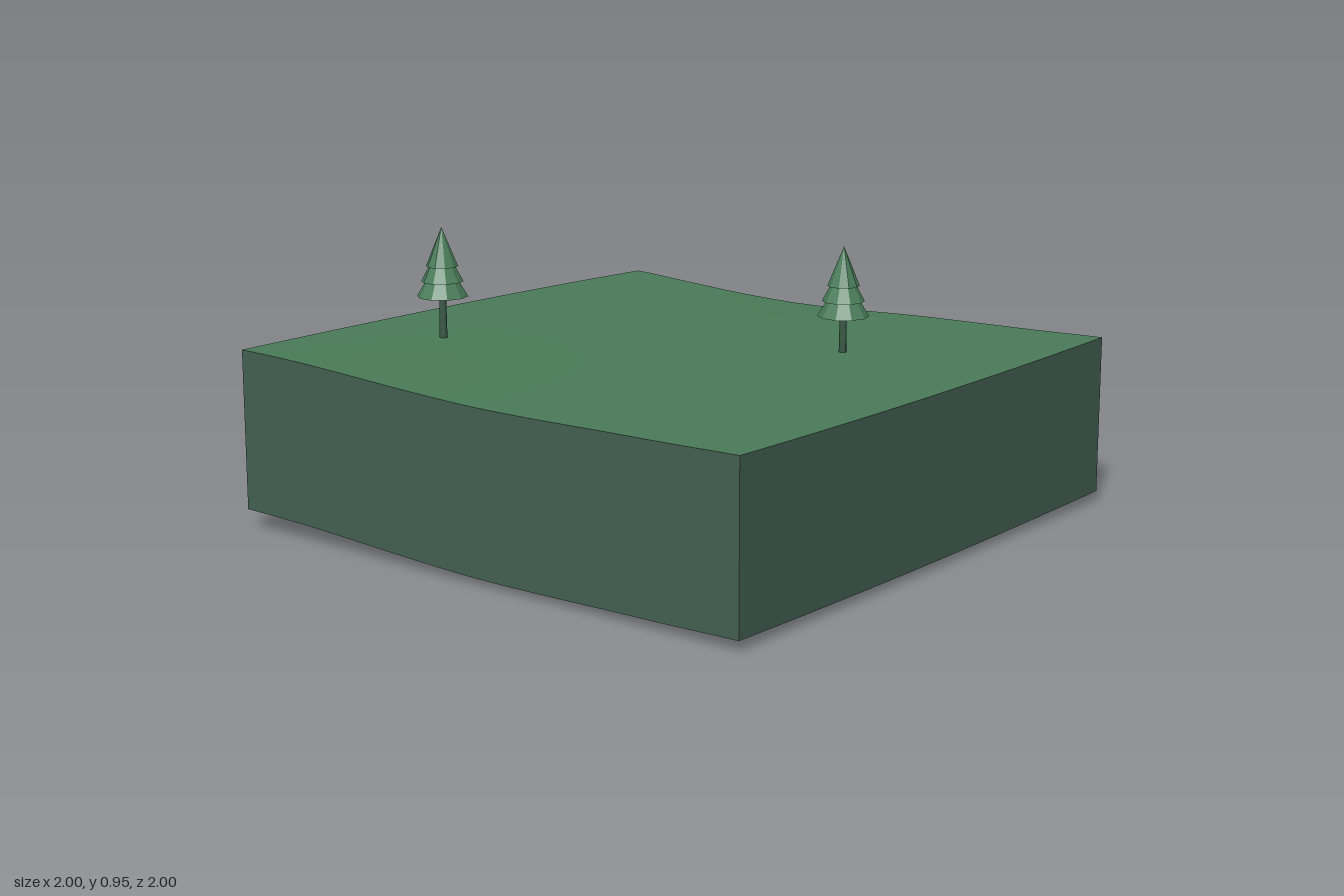
import * as THREE from 'three';

const SEG = 24;
const DEPTH = 0.53;

// Edge profiles from back (z = -1) to front (z = 1)
const spline = (pts) => {
  const curve = new THREE.SplineCurve(pts.map((y, i) => new THREE.Vector2(i, y)));
  return (z) => curve.getPoint((z + 1) / 2).y;
};
const leftEdge = spline([0.592, 0.587, 0.575, 0.562, 0.553, 0.553, 0.557, 0.56, 0.565]);
const rightEdge = spline([0.565, 0.55, 0.536, 0.53, 0.536, 0.547, 0.553, 0.558, 0.565]);

// Gently rolling ground height
function height(x, z) {
  const t = Math.pow((x + 1) / 2, 2.4);
  const sag = 0.01 * (1 - x * x) * Math.max(0, z);
  return THREE.MathUtils.lerp(leftEdge(z), rightEdge(z), t) - sag;
}

export function createModel() {
  const ground = new THREE.MeshStandardMaterial({ color: 0x4a7c59, side: THREE.DoubleSide });
  const earth = new THREE.MeshStandardMaterial({ color: 0x446053, side: THREE.DoubleSide });
  const foliage = new THREE.MeshStandardMaterial({ color: 0x4a7d5a, flatShading: true });
  const bark = new THREE.MeshStandardMaterial({ color: 0x3a5a47 });
  ground.name = 'grass green';
  earth.name = 'earth green';
  foliage.name = 'foliage green';
  bark.name = 'bark green';

  const model = new THREE.Group();
  const add = (parent, name, geometry, material) => {
    const mesh = new THREE.Mesh(geometry, material);
    mesh.name = name;
    parent.add(mesh);
    return mesh;
  };

  // Ground surface
  const top = new THREE.PlaneGeometry(2, 2, SEG, SEG).rotateX(-Math.PI / 2);
  const tp = top.attributes.position;
  for (let i = 0; i < tp.count; i++) tp.setY(i, height(tp.getX(i), tp.getZ(i)));
  top.computeVertexNormals();
  add(model, 'ground', top, ground);

  // Four side walls hanging from the ground's edge, open below
  ['frontWall', 'leftWall', 'backWall', 'rightWall'].forEach((name, side) => {
    const wall = new THREE.PlaneGeometry(2, 1, SEG, 1).translate(0, 0, 1).rotateY(side * Math.PI / 2);
    const p = wall.attributes.position;
    for (let i = 0; i < p.count; i++) {
      const h = height(p.getX(i), p.getZ(i));
      p.setY(i, p.getY(i) > 0 ? h : h - DEPTH);
    }
    add(model, name, wall, earth);
  });

  // Conifers: a thin trunk under three stacked cones
  const tiers = [
    { y: 0, r: 0.085, h: 0.14 },
    { y: 0.05, r: 0.07, h: 0.13 },
    { y: 0.1, r: 0.053, h: 0.13 },
  ];
  [[-0.42, 0.72, -0.665], [0.33, 0.67, 0.415]].forEach(([x, y, z], n) => {
    const tree = new THREE.Group();
    tree.name = `tree${n + 1}`;
    tree.position.set(x, y, z);
    const bottom = height(x, z) - y - 0.005;
    const length = 0.03 - bottom;
    add(tree, 'trunk', new THREE.CylinderGeometry(0.011, 0.013, length, 8), bark)
      .position.y = bottom + length / 2;
    tiers.forEach((t, i) => {
      add(tree, `foliageTier${i + 1}`, new THREE.ConeGeometry(t.r, t.h, 10), foliage)
        .position.y = t.y + t.h / 2;
    });
    model.add(tree);
  });

  return model;
}
